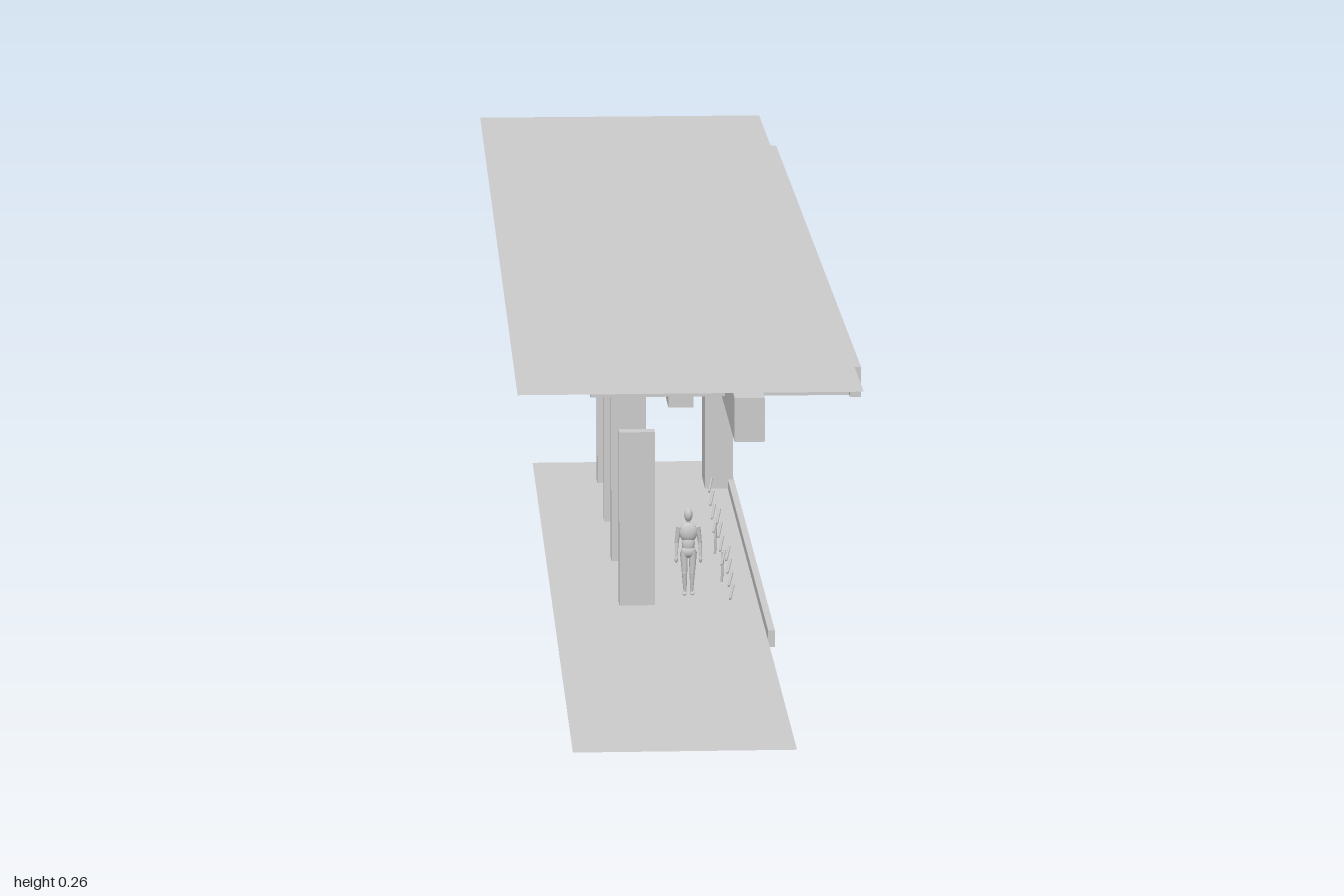
import * as THREE from 'three';

const grey = new THREE.MeshStandardMaterial({ color: 0xcccccc });
const sheetGrey = new THREE.MeshStandardMaterial({ color: 0xcccccc, side: THREE.DoubleSide });

export function createModel() {
  const model = new THREE.Group();

  // box given by its limits on each axis
  const box = (name, x0, x1, y0, y1, z0, z1) => {
    const mesh = new THREE.Mesh(new THREE.BoxGeometry(x1 - x0, y1 - y0, z1 - z0), grey);
    mesh.position.set((x0 + x1) / 2, (y0 + y1) / 2, (z0 + z1) / 2);
    mesh.name = name;
    model.add(mesh);
  };

  // horizontal sheet without thickness
  const sheet = (name, x0, x1, y, z0, z1) => {
    const geometry = new THREE.PlaneGeometry(x1 - x0, z1 - z0).rotateX(-Math.PI / 2);
    const mesh = new THREE.Mesh(geometry, sheetGrey);
    mesh.position.set((x0 + x1) / 2, y, (z0 + z1) / 2);
    mesh.name = name;
    model.add(mesh);
  };

  // round bar between two points, with a radius at each end
  const rod = (parent, name, a, b, r0, r1 = r0, sides = 8) => {
    const from = new THREE.Vector3(...a), to = new THREE.Vector3(...b);
    const dir = to.clone().sub(from);
    const mesh = new THREE.Mesh(new THREE.CylinderGeometry(r1, r0, dir.length(), sides), grey);
    mesh.position.copy(from).add(to).multiplyScalar(0.5);
    mesh.quaternion.setFromUnitVectors(new THREE.Vector3(0, 1, 0), dir.normalize());
    mesh.name = name;
    parent.add(mesh);
  };

  // roof and walkway floor
  sheet('roof', -0.16, 0.15, 0.2625, -1, 0.48);
  sheet('floor', -0.13, 0.055, 0.072, -0.095, 1);
  box('floorEdgeBeam', 0.055, 0.061, 0.066, 0.081, -0.06, 0.63);

  // beams under the roof
  box('mainBeam', 0.033, 0.06, 0.222, 0.262, -0.737, 0.5);
  box('outerBeam', 0.147, 0.157, 0.232, 0.26, -0.82, 0.36);
  for (const z of [0.33, -0.01, -0.35]) {
    box('crossBeam', -0.09, 0.147, 0.232, 0.26, z - 0.02, z + 0.02);
  }

  // tall columns from the ground, short ones from the floor
  for (const z of [0, -0.709]) box('mainColumn', 0.033, 0.06, 0, 0.222, z - 0.028, z + 0.028);
  for (const z of [0.489, 0.317, 0.155, -0.01]) {
    box('floorColumn', -0.07, -0.038, 0.072, 0.231, z - 0.007, z + 0.007);
  }

  // standing figure
  const figure = new THREE.Group();
  figure.name = 'figure';
  figure.position.set(-0.006, 0.072, 0.457);
  model.add(figure);
  const ball = (name, x, y, z, rx, ry, rz) => {
    const mesh = new THREE.Mesh(new THREE.SphereGeometry(1, 12, 8), grey);
    mesh.scale.set(rx, ry, rz);
    mesh.position.set(x, y, z);
    mesh.name = name;
    figure.add(mesh);
  };
  ball('head', 0, 0.074, 0, 0.0038, 0.0062, 0.0045);
  rod(figure, 'neck', [0, 0.064, 0], [0, 0.07, 0], 0.002);
  ball('chest', 0, 0.058, 0, 0.0085, 0.0095, 0.005);
  ball('waist', 0, 0.047, 0, 0.006, 0.008, 0.0042);
  ball('hips', 0, 0.04, 0, 0.007, 0.006, 0.0048);
  for (const s of [-1, 1]) {
    rod(figure, 'upperArm', [s * 0.0085, 0.063, 0], [s * 0.0105, 0.048, -0.001], 0.0025, 0.0018);
    rod(figure, 'forearm', [s * 0.0105, 0.048, -0.001], [s * 0.011, 0.035, 0.002], 0.0018, 0.0012);
    ball('hand', s * 0.011, 0.033, 0.002, 0.0015, 0.003, 0.002);
    rod(figure, 'thigh', [s * 0.004, 0.04, 0], [s * 0.0035, 0.021, 0.001], 0.0038, 0.0025);
    rod(figure, 'shin', [s * 0.0035, 0.021, 0.001], [s * 0.003, 0.003, 0], 0.0025, 0.0014);
    ball('foot', s * 0.0035, 0.0015, 0.002, 0.002, 0.0015, 0.0045);
  }

  // thin broken railing along the open edge: slanted bars in three clusters
  const railing = new THREE.Group();
  railing.name = 'railing';
  model.add(railing);
  [[0.57, 0.49], [0.44, 0.34], [0.31, 0.21]].forEach(([z0, z1]) => {
    const step = (z1 - z0) / 4;
    for (let i = 0; i < 4; i++) {
      const z = z0 + i * step, y = 0.095 + i * 0.007;
      rod(railing, 'railingBar', [0.025, y, z], [0.029, y + 0.009, z + step * 0.8], 0.0012, 0.0012, 5);
    }
  });
  for (const z of [0.41, 0.3]) {
    rod(railing, 'railingPost', [0.027, 0.072, z], [0.028, 0.1, z], 0.0012, 0.0012, 5);
  }

  return model;
}
